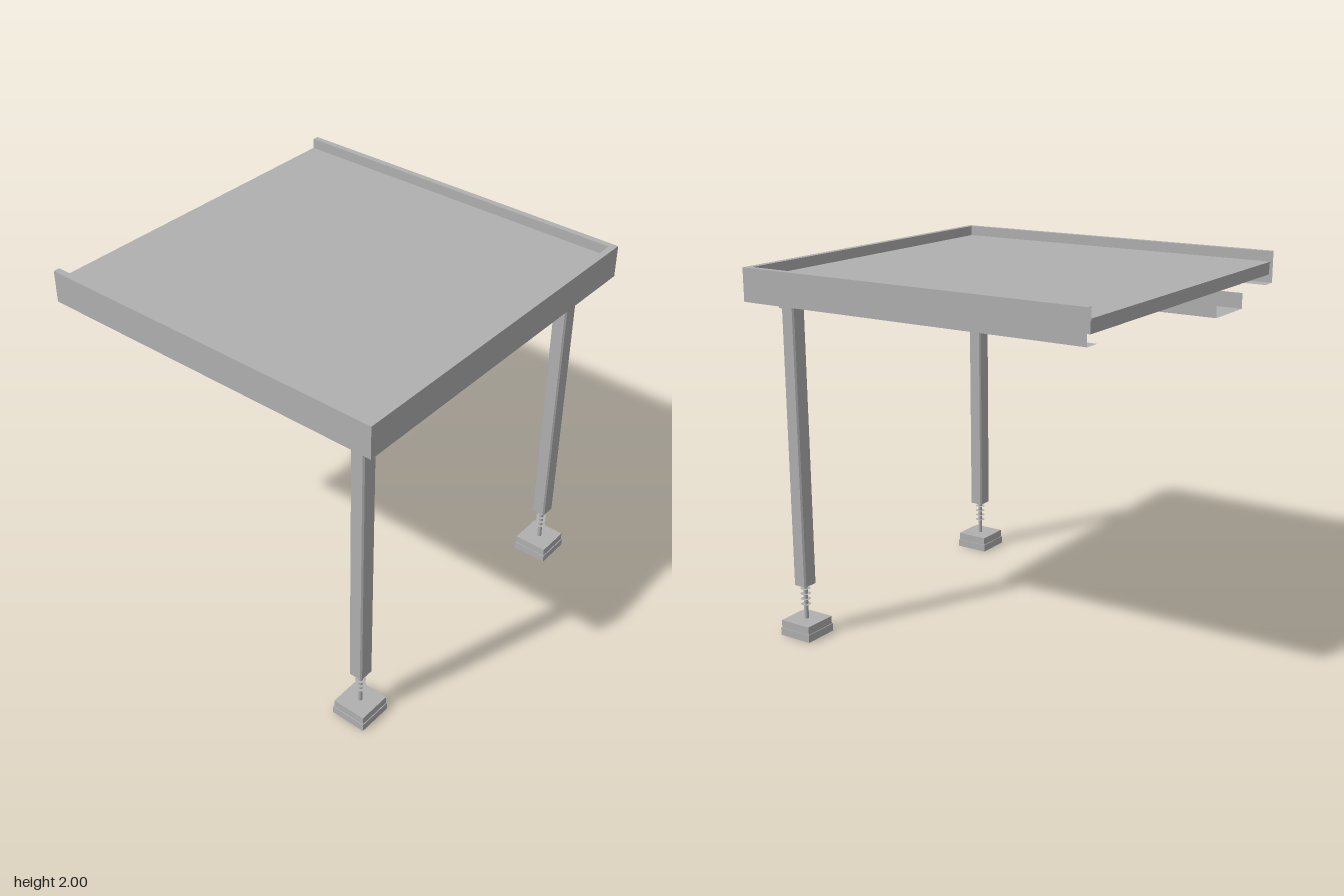
import * as THREE from 'three';

const grey = new THREE.MeshStandardMaterial({ color: 0xb0b0b0, side: THREE.DoubleSide });
grey.name = 'metalGrey';

function add(parent, name, geometry, x = 0, y = 0, z = 0) {
  const mesh = new THREE.Mesh(geometry, grey);
  mesh.name = name;
  mesh.position.set(x, y, z);
  parent.add(mesh);
  return mesh;
}

// Box given by its limits on each axis
function block(parent, name, x0, x1, y0, y1, z0, z1) {
  return add(parent, name, new THREE.BoxGeometry(x1 - x0, y1 - y0, z1 - z0),
    (x0 + x1) / 2, (y0 + y1) / 2, (z0 + z1) / 2);
}

// Folded sheet metal: each row is one fold line, joined to the next row by flat faces
function foldedSheet(rows) {
  const pos = [];
  for (let i = 0; i < rows.length - 1; i++) {
    for (let j = 0; j < rows[i].length - 1; j++) {
      const a = rows[i][j], b = rows[i + 1][j], c = rows[i + 1][j + 1], d = rows[i][j + 1];
      pos.push(...a, ...b, ...c, ...a, ...c, ...d);
    }
  }
  const g = new THREE.BufferGeometry();
  g.setAttribute('position', new THREE.Float32BufferAttribute(pos, 3));
  g.computeVertexNormals();
  return g;
}

// Rectangle with cut corners
function cutRect(path, w, d, c) {
  const a = w / 2, b = d / 2;
  path.moveTo(-a + c, -b);
  [[a - c, -b], [a, -b + c], [a, b - c], [a - c, b], [-a + c, b], [-a, b - c], [-a, -b + c]]
    .forEach(([x, y]) => path.lineTo(x, y));
  path.closePath();
  return path;
}

function makeLeg() {
  const leg = new THREE.Group();
  leg.name = 'leg';

  // Hollow post
  const shape = cutRect(new THREE.Shape(), 0.08, 0.09, 0.008);
  shape.holes.push(cutRect(new THREE.Path(), 0.068, 0.078, 0.006));
  const tube = new THREE.ExtrudeGeometry(shape, { depth: 1.52, bevelEnabled: false });
  tube.rotateX(-Math.PI / 2);
  add(leg, 'post', tube, 0, 0.285, 0);
  block(leg, 'postEndPlate', -0.034, 0.034, 0.29, 0.297, -0.039, 0.039);

  // Fixing plate and side tab at the top
  block(leg, 'topPlate', -0.05, 0.06, 1.803, 1.825, -0.055, 0.11);
  block(leg, 'topTab', 0.055, 0.078, 1.78, 1.825, -0.018, 0.112);

  // Threaded adjuster
  add(leg, 'adjusterRod', new THREE.CylinderGeometry(0.012, 0.012, 0.22, 12), 0, 0.19, 0);
  for (let i = 0; i < 4; i++) {
    const ring = new THREE.RingGeometry(0.012, 0.028, 16);
    ring.rotateX(-Math.PI / 2);
    add(leg, 'threadRing', ring, 0, 0.17 + i * 0.03, 0);
  }

  // Stepped foot
  block(leg, 'footBase', -0.0985, 0.0985, 0, 0.042, -0.0985, 0.0985);
  block(leg, 'footTop', -0.094, 0.094, 0.042, 0.086, -0.094, 0.094);
  return leg;
}

export function createModel() {
  const model = new THREE.Group();
  model.name = 'deckModule';
  const Z = 0.995, deckY = 1.945;

  // Edge trim around three sides: inner return, top lip, outer wall, bottom lip
  const profile = [[0.035, deckY], [0.035, 2], [0, 2], [0, 1.825], [0.088, 1.825]];
  add(model, 'edgeTrim', foldedSheet(profile.map(([d, y]) => [
    [-1, y, -Z + d], [1 - d, y, -Z + d], [1 - d, y, Z - d], [-1, y, Z - d],
  ])));

  // Deck panel
  block(model, 'deck', -1, 0.965, deckY - 0.008, deckY, -0.96, 0.96);

  // Cross joists under the deck
  for (const x of [-0.995, 0.035]) {
    block(model, 'joist', x, x + 0.05, 1.875, deckY - 0.008, -0.96, 0.96);
  }

  // Open channel below the deck
  const channel = [[1.825, 0.3], [1.742, 0.3], [1.742, 0.61], [1.825, 0.61]];
  add(model, 'channel', foldedSheet(channel.map(([y, z]) => [[-1, y, z], [0.28, y, z]])));

  // Legs and diagonal corner braces
  for (const side of [1, -1]) {
    const leg = makeLeg();
    leg.position.set(0.826, 0, 0.829 * side);
    model.add(leg);
    const brace = add(model, 'cornerBrace', new THREE.BoxGeometry(0.55, 0.05, 0.035),
      0.76, 1.86, 0.76 * side);
    brace.rotation.y = side * Math.PI / 4;
  }
  return model;
}
